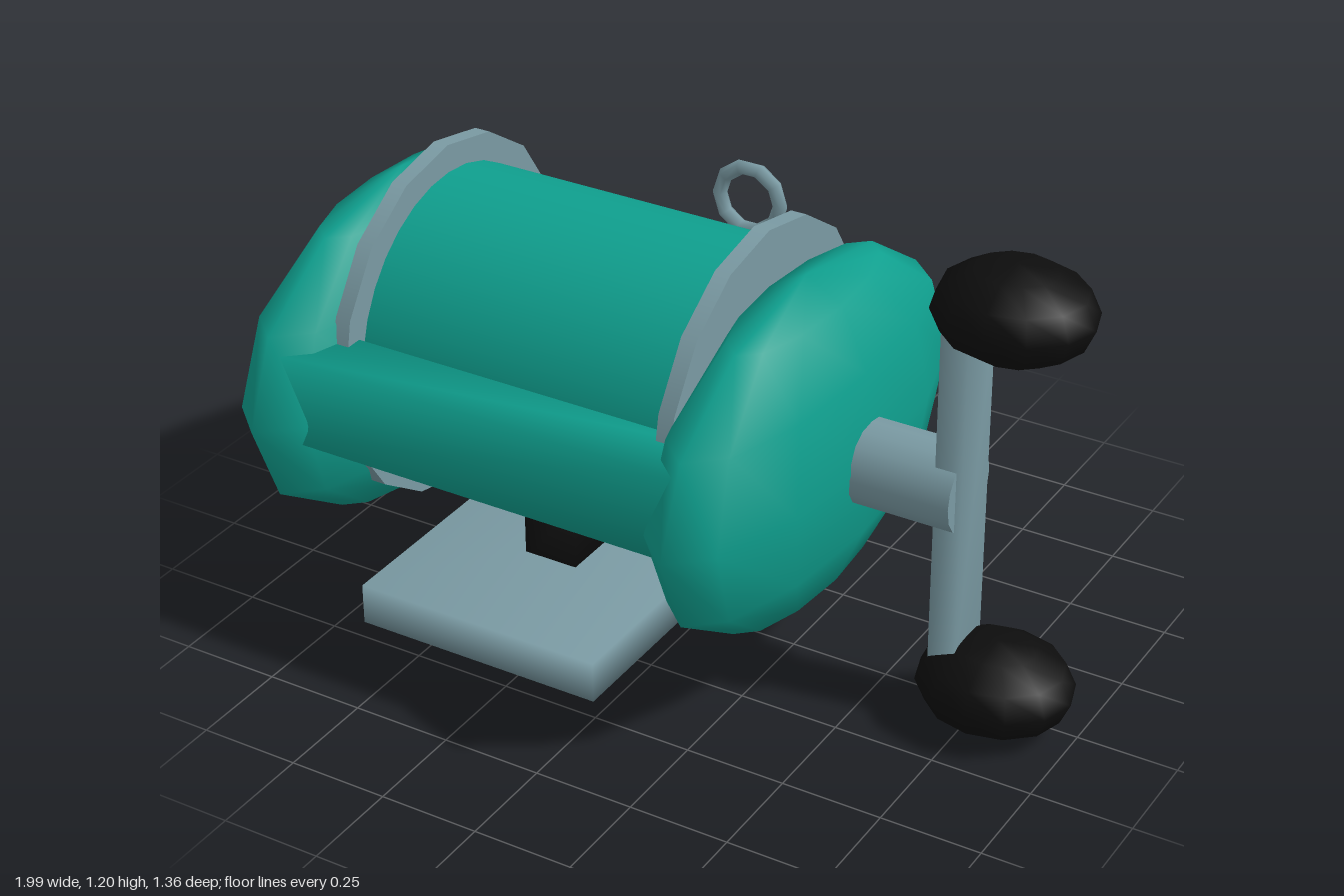
import * as THREE from 'three';
import { mergeVertices } from 'three/addons/utils/BufferGeometryUtils.js';

const mat = (name, color) => {
  const m = new THREE.MeshStandardMaterial({ color });
  m.name = name;
  return m;
};

// Weld corners so shading runs softly across the edges
function soften(geometry) {
  geometry.deleteAttribute('normal');
  geometry.deleteAttribute('uv');
  const g = mergeVertices(geometry);
  g.computeVertexNormals();
  return g;
}

export function createModel() {
  const teal = mat('teal', 0x0f9f8e);
  const silver = mat('silver', 0x7a9aa3);
  const black = mat('black', 0x0d0d0d);
  const group = new THREE.Group();
  group.name = 'fishingReel';
  const axisZ = 0.045;

  const add = (name, geometry, material, x, y, z) => {
    const mesh = new THREE.Mesh(geometry, material);
    mesh.name = name;
    mesh.position.set(x, y, z);
    group.add(mesh);
    return mesh;
  };
  // Box given by its limits on each axis
  const softBox = (name, material, x0, x1, y0, y1, z0, z1) =>
    add(name, soften(new THREE.BoxGeometry(x1 - x0, y1 - y0, z1 - z0)), material,
      (x0 + x1) / 2, (y0 + y1) / 2, (z0 + z1) / 2);
  // Cylinder lying along x
  const rod = (name, material, radius, x0, x1, y, sides) =>
    add(name, new THREE.CylinderGeometry(radius, radius, x1 - x0, sides).rotateZ(Math.PI / 2),
      material, (x0 + x1) / 2, y, axisZ);
  const ellipsoid = (name, material, rx, ry, rz, x, y) =>
    add(name, new THREE.SphereGeometry(1, 12, 6).scale(rx, ry, rz), material, x, y, axisZ);

  // Spool between two rims and rounded side covers
  rod('spool', teal, 0.378, -0.7, 0.18, 0.677, 32);
  for (const [side, coverX, rimX] of [['right', -0.81, -0.695], ['left', 0.29, 0.175]]) {
    ellipsoid(side + 'SideCover', teal, 0.187, 0.42, 0.635, coverX, 0.62);
    rod(side + 'Rim', silver, 0.45, rimX - 0.02, rimX + 0.02, 0.675, 16);
  }

  // Cross bars joining the side covers
  softBox('frontBar', teal, -0.8, 0.28, 0.565, 0.785, 0.43, 0.59);
  softBox('backBar', black, -0.8, 0.28, 0.52, 0.68, -0.54, -0.4);

  // Mounting foot
  softBox('footStem', black, -0.33, -0.19, 0.2, 0.42, 0.085, 0.28);
  softBox('footPlate', silver, -0.58, 0.06, 0.13, 0.233, -0.24, 0.6);

  // Line guide ring behind the reel
  add('lineGuide', new THREE.TorusGeometry(0.087, 0.02, 6, 10), silver, -0.26, 0.785, -0.665);

  // Crank with two knobs
  rod('crankAxle', silver, 0.104, 0.4, 0.715, 0.607, 16);
  softBox('crankArm', silver, 0.662, 0.73, 0.12, 1.09, -0.02, 0.112);
  for (const [name, y] of [['upperKnob', 1.09], ['lowerKnob', 0.117]]) {
    ellipsoid(name, black, 0.192, 0.115, 0.168, 0.805, y);
  }
  return group;
}
